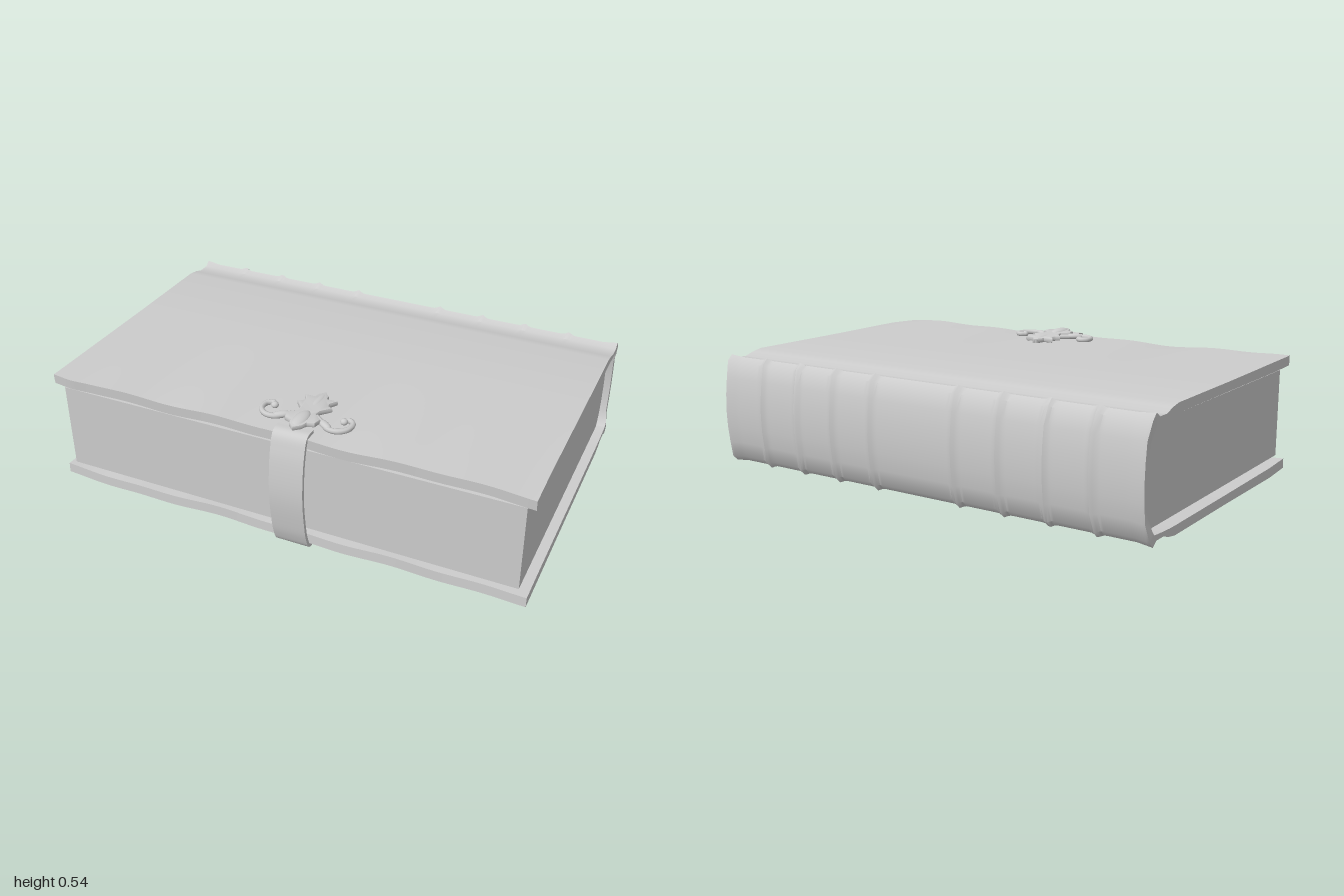
import * as THREE from 'three';
import { toCreasedNormals } from 'three/addons/utils/BufferGeometryUtils.js';

const MID = 0.2625; // mid height of the book
const CX = 0.065;   // centre line of the clasp

// Extrude a closed (z, y) outline along x
function extrudeX(points, x0, x1) {
  const shape = new THREE.Shape(points.map(([z, y]) => new THREE.Vector2(-z, y)));
  return new THREE.ExtrudeGeometry(shape, { depth: x1 - x0, bevelEnabled: false })
    .rotateY(Math.PI / 2).translate(x0, 0, 0);
}

// Upper half of the binding: [outer z, outer y, inner z, inner y], front edge to mid spine
const HALF = [
  [0.61, 0.503, 0.608, 0.462], [0.45, 0.505, 0.45, 0.463], [0, 0.5, 0, 0.463],
  [-0.44, 0.498, -0.44, 0.462], [-0.485, 0.49, -0.485, 0.461], [-0.53, 0.476, -0.53, 0.458],
  [-0.58, 0.476, -0.575, 0.455], [-0.602, 0.487, -0.598, 0.452], [-0.625, 0.465, -0.612, 0.437],
  [-0.643, 0.4, -0.627, 0.39], [-0.651, 0.33, -0.634, 0.32], [-0.654, MID, -0.637, MID],
];
const BANDS = [0.2, 0.4, 0.595, 0.79];

// Cover boards and spine as one loft along x, with raised bands and worn edges
function bindingGeometry() {
  const flip = ([a, b, c, d]) => [a, 2 * MID - b, c, 2 * MID - d];
  const pairs = [...HALF, ...HALF.slice(0, -1).reverse().map(flip)];
  const n = pairs.length, m = 2 * n, steps = 160, pos = [], idx = [];
  const quad = (a, b, c, d) => idx.push(a, b, c, a, c, d);
  for (let s = 0; s <= steps; s++) {
    const u = -1 + (2 * s) / steps;
    let bump = 0.008 * Math.max(0, (Math.abs(u) - 0.94) / 0.06);
    for (const b of BANDS) bump += 0.012 * Math.exp(-(((Math.abs(u) - b) / 0.014) ** 2));
    const point = (i, inner) => {
      let z = pairs[i][inner ? 2 : 0], y = pairs[i][inner ? 3 : 1];
      const side = Math.sign(y - MID), k = Math.min(i, n - 1 - i);
      if (k >= 7 && !inner) { // spine
        const len = Math.hypot(z + 0.45, y - MID);
        z += (bump * (z + 0.45)) / len;
        y += (bump * (y - MID)) / len;
      }
      if (k === 0) { // worn front edge
        z += 0.004 * Math.sin(7 * u + side) + (side < 0 ? 0 : 0.008 * Math.exp(-(((u + 0.92) / 0.06) ** 2)));
        y += 0.004 * Math.sin(8 * u + 2 * side) + 0.003 * Math.sin(17 * u);
      }
      pos.push(u * (k > 8 ? 0.988 : 0.997), y, z);
    };
    for (let i = 0; i < n; i++) point(i, false);
    for (let i = n - 1; i >= 0; i--) point(i, true);
  }
  for (let s = 0; s < steps; s++) for (let i = 0; i < m; i++) {
    const j = (i + 1) % m, a = s * m, b = a + m;
    quad(a + i, b + i, b + j, a + j);
  }
  const e = steps * m;
  for (let i = 0; i < n - 1; i++) { // end faces
    quad(i, i + 1, m - 2 - i, m - 1 - i);
    quad(e + i, e + m - 1 - i, e + m - 2 - i, e + i + 1);
  }
  const g = new THREE.BufferGeometry();
  g.setAttribute('position', new THREE.Float32BufferAttribute(pos, 3));
  g.setIndex(idx);
  return toCreasedNormals(g, 0.6);
}

// Curved strap from the top clasp round the fore edge to the underside
function strapGeometry() {
  const path = [[0.56, 0.512], [0.61, 0.508], [0.635, 0.45], [0.652, 0.36], [0.659, 0.25],
    [0.65, 0.14], [0.635, 0.06], [0.612, 0.013], [0.56, 0.01]];
  const curve = new THREE.CatmullRomCurve3(path.map(([z, y]) => new THREE.Vector3(z, y, 0)));
  const outer = [], inner = [];
  for (let i = 0; i <= 40; i++) {
    const p = curve.getPoint(i / 40), t = curve.getTangent(i / 40);
    outer.push([p.x - t.y * 0.007, p.y + t.x * 0.007]);
    inner.push([p.x + t.y * 0.007, p.y - t.x * 0.007]);
  }
  return toCreasedNormals(extrudeX([...outer, ...inner.reverse()], -0.007, 0.133), 0.6);
}

// Leaf-shaped plate, half outline as [x offset, z]
function leafGeometry() {
  const half = [[0, 0.305], [0.022, 0.33], [0.026, 0.352], [0.07, 0.352], [0.05, 0.385], [0.056, 0.4],
    [0.074, 0.41], [0.042, 0.45], [0.038, 0.475], [0.07, 0.505], [0.062, 0.54], [0.034, 0.55], [0.026, 0.575], [0, 0.6]];
  const pts = [...half, ...half.slice(1, -1).reverse().map(([x, z]) => [-x, z])];
  const g = new THREE.ExtrudeGeometry(new THREE.Shape(pts.map(([x, z]) => new THREE.Vector2(x, z))), {
    depth: 0.01, bevelEnabled: true, bevelThickness: 0.006, bevelSize: 0.006, bevelOffset: -0.006, bevelSegments: 2,
  }).rotateX(Math.PI / 2).translate(CX, 0.517, 0);
  const p = g.attributes.position;
  for (let i = 0; i < p.count; i++) p.setY(i, p.getY(i) + 0.05 * (p.getZ(i) - 0.3));
  return toCreasedNormals(g, 0.7);
}

export function createModel() {
  const grey = new THREE.MeshStandardMaterial({ color: 0xcccccc });
  grey.name = 'plain grey';
  const model = new THREE.Group();
  model.name = 'claspedBook';
  const clasp = new THREE.Group();
  clasp.name = 'clasp';
  const add = (name, geometry, parent = model) => {
    const mesh = new THREE.Mesh(geometry, grey);
    mesh.name = name;
    parent.add(mesh);
    return mesh;
  };

  add('coverAndSpine', bindingGeometry());

  // Page block with a rounded back
  add('pages', toCreasedNormals(extrudeX([[0.595, 0.08], [0.595, 0.445], [-0.575, 0.445], [-0.603, 0.4],
    [-0.617, 0.34], [-0.622, MID], [-0.617, 0.185], [-0.603, 0.125], [-0.575, 0.08]], -0.965, 0.962), 0.35));

  // Clasp
  model.add(clasp);
  add('strap', strapGeometry(), clasp);
  add('leafPlate', leafGeometry(), clasp);
  const lobe = (name, x, y, z, sx, sy, sz) => {
    const mesh = add(name, new THREE.SphereGeometry(1, 16, 10), clasp);
    mesh.position.set(x, y, z);
    mesh.scale.set(sx, sy, sz);
    return mesh;
  };
  lobe('lowerLeafRib', CX, 0.527, 0.53, 0.03, 0.017, 0.065);
  lobe('upperLeafRib', CX, 0.516, 0.39, 0.02, 0.014, 0.08);
  for (const s of [-1, 1]) {
    const curve = new THREE.CatmullRomCurve3([[0.03, 0.465], [0.07, 0.495], [0.11, 0.528], [0.15, 0.528], [0.18, 0.5],
      [0.182, 0.46], [0.16, 0.443], [0.142, 0.455]].map(([x, z]) => new THREE.Vector3(CX + s * x, 0.514, z)));
    add('scroll', new THREE.TubeGeometry(curve, 40, 0.011, 8), clasp);
    lobe('scrollTip', CX + s * 0.145, 0.514, 0.458, 0.015, 0.013, 0.015);
    lobe('scrollLeaf', CX + s * 0.09, 0.516, 0.51, 0.04, 0.013, 0.016).rotation.y = -s * 0.6;
  }
  add('claspPin', new THREE.CylinderGeometry(0.014, 0.014, 0.07, 12).translate(CX, 0.483, 0.322), clasp);

  // Underside anchor plate with studs
  add('anchorPlate', new THREE.BoxGeometry(0.13, 0.014, 0.115).translate(CX - 0.002, 0.014, 0.53), clasp);
  for (const s of [-1, 1]) lobe('anchorStud', CX + s * 0.035, 0.007, 0.5, 0.014, 0.006, 0.014);
  lobe('anchorRib', CX, 0.01, 0.482, 0.06, 0.008, 0.012);
  return model;
}
